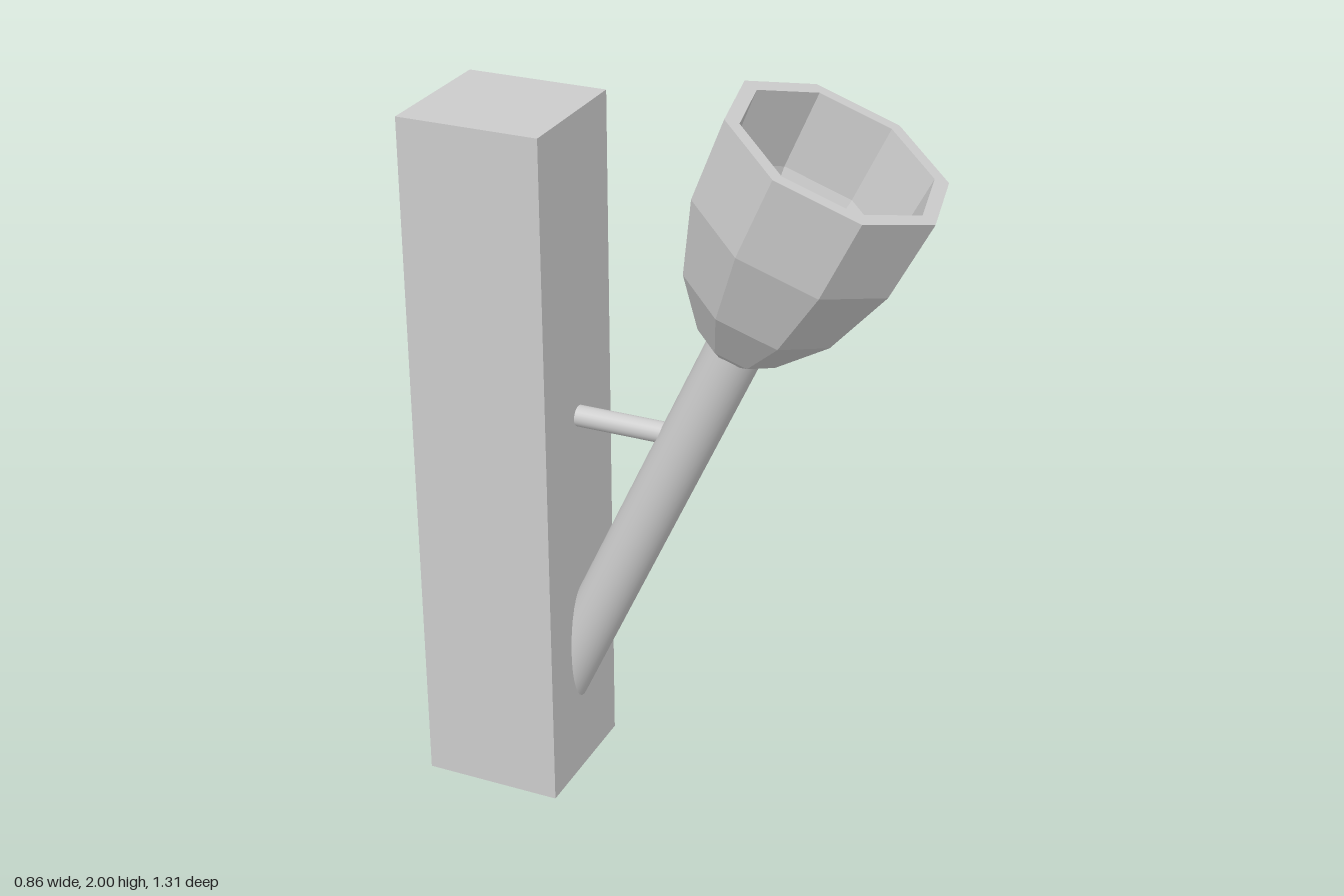
import * as THREE from 'three';

const rad = THREE.MathUtils.degToRad;

export function createModel() {
  const model = new THREE.Group();
  const smooth = new THREE.MeshStandardMaterial({ color: 0xcccccc });
  const faceted = new THREE.MeshStandardMaterial({ color: 0xcccccc, flatShading: true });

  const add = (parent, name, geometry, material) => {
    const mesh = new THREE.Mesh(geometry, material);
    mesh.name = name;
    parent.add(mesh);
    return mesh;
  };

  // Everything is aligned to the square post, which is turned about y
  const torch = new THREE.Group();
  torch.name = 'wallTorch';
  torch.position.set(-0.19, 0, -0.408);
  torch.rotation.y = rad(22.5);
  model.add(torch);

  // Square post
  add(torch, 'post', new THREE.BoxGeometry(0.378, 1.875, 0.378), faceted).position.y = 0.9375;

  // Horizontal peg from the post to the handle
  const peg = add(torch, 'peg', new THREE.CylinderGeometry(0.028, 0.028, 0.36, 24), smooth);
  peg.rotation.x = Math.PI / 2;
  peg.position.set(0, 1.067, 0.29);

  // Leaning handle and cup share an axis; the origin is the centre of the rim
  const leaning = new THREE.Group();
  leaning.name = 'handleAndCup';
  leaning.position.set(0, 1.88, 0.865);
  leaning.rotation.x = rad(24.5);
  torch.add(leaning);

  // Handle, its lower end sunk into the post
  const top = -0.56, bottom = -1.96;
  add(leaning, 'handle', new THREE.CylinderGeometry(0.072, 0.072, top - bottom, 32), smooth)
    .position.y = (top + bottom) / 2;

  // Hollow eight-sided cup: outside upwards, over the rim, then down the inside
  const profile = [
    [0, -0.6], [0.072, -0.6], [0.113, -0.57], [0.21, -0.43], [0.275, -0.225], [0.288, 0],
    [0.25, 0], [0.238, -0.21], [0.178, -0.4], [0.09, -0.51], [0, -0.535],
  ].map(([r, y]) => new THREE.Vector2(r, y));
  add(leaning, 'cup', new THREE.LatheGeometry(profile, 8, rad(33.75)), faceted);

  return model;
}
